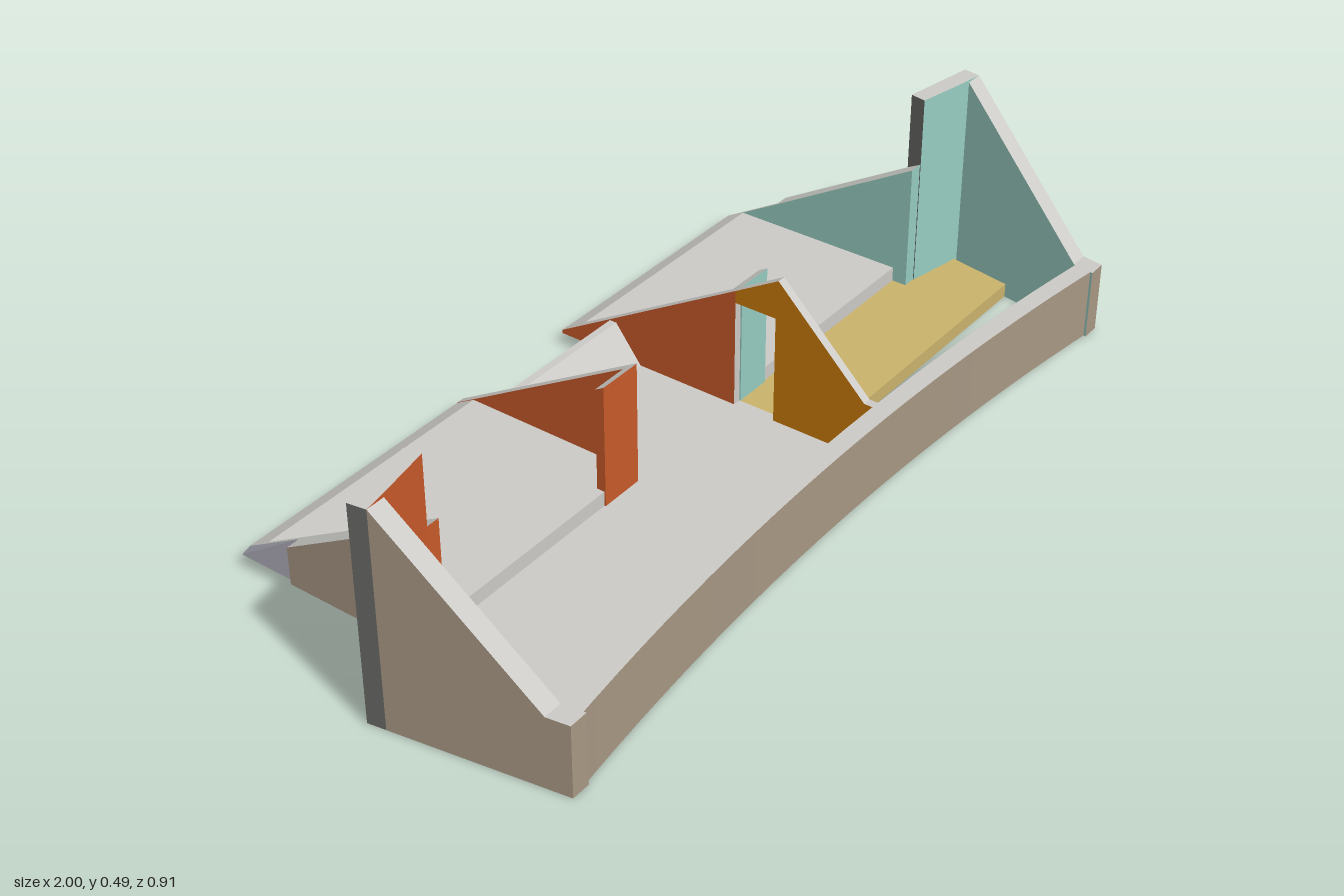
import * as THREE from 'three';

const mat = (name, color) => {
  const m = new THREE.MeshStandardMaterial({ color });
  m.name = name;
  return m;
};
const tan = mat('outer wall tan', 0xa89884);
const light = mat('light plaster', 0xcccbc7);
const gold = mat('gold floor', 0xcbb36c);
const teal = mat('teal paint', 0x97ccc1);
const orange = mat('orange paint', 0xc85a2a);
const amber = mat('amber paint', 0xc87808);
const grey = mat('wing grey', 0x6a6b67);
const lavender = mat('lavender end', 0x9b9aa6);

// Solid between two mapped copies of a flat contour; edges is one material or one per contour side
function solid(name, pts, mapA, mapB, matA, matB, edges) {
  const contour = pts.map(p => new THREE.Vector2(p[0], p[1]));
  const sign = Math.sign(THREE.ShapeUtils.area(contour));
  const A = pts.map(p => mapA(p[0], p[1])), B = pts.map(p => mapB(p[0], p[1]));
  const tris = [];
  for (const [i, j, k] of THREE.ShapeUtils.triangulateShape(contour, [])) {
    const s = Math.sign(THREE.ShapeUtils.area([contour[i], contour[j], contour[k]]));
    const [q, r] = s === sign ? [j, k] : [k, j];
    tris.push([matA, A[i], A[r], A[q]], [matB, B[i], B[q], B[r]]);
  }
  pts.forEach((_, i) => {
    const j = (i + 1) % pts.length, m = Array.isArray(edges) ? edges[i] : edges;
    tris.push([m, A[i], A[j], B[j]], [m, A[i], B[j], B[i]]);
  });
  // face everything outward
  const volume = tris.reduce((v, [, a, b, c]) => v + a.dot(b.clone().cross(c)), 0);
  const mats = [...new Set(tris.map(t => t[0]))];
  const geo = new THREE.BufferGeometry(), pos = [];
  mats.forEach((m, g) => {
    const start = pos.length / 3;
    for (const [tm, a, b, c] of tris) {
      if (tm !== m) continue;
      for (const v of volume < 0 ? [a, c, b] : [a, b, c]) pos.push(v.x, v.y, v.z);
    }
    geo.addGroup(start, pos.length / 3 - start, g);
  });
  geo.setAttribute('position', new THREE.Float32BufferAttribute(pos, 3));
  geo.computeVertexNormals();
  const mesh = new THREE.Mesh(geo, mats);
  mesh.name = name;
  return mesh;
}

const atX = x => (z, y) => new THREE.Vector3(x, y, z);
const atY = y => (x, z) => new THREE.Vector3(x, y, z);
// (z, y) profile from x0 to x1
const acrossX = (name, pts, x0, x1, m0, m1, edges) => solid(name, pts, atX(x0), atX(x1), m0, m1, edges);
// (x, z) plan from y0 to y1
const upY = (name, pts, y0, y1, bottom, top, edges) => solid(name, pts, atY(y0), atY(y1), bottom, top, edges);

const FLOOR = 0.033, DECK = 0.067;

export function createModel() {
  const model = new THREE.Group();
  model.name = 'terrace building';

  // Curved front wall
  const n = 24, plan = [], sides = [];
  for (let i = 0; i <= n; i++) {
    const t = -1 + 2 * i / n;
    plan.push([0.93 * t, 0.385 + 0.065 * t * t]);
    sides.push(i < n ? tan : light);
  }
  for (let i = 0; i <= n; i++) {
    const t = 1 - 2 * i / n;
    plan.push([0.9 * t, 0.342 + 0.062 * t * t]);
    sides.push(i < n ? teal : light);
  }
  model.add(upY('frontWall', plan, 0, 0.165, light, light, sides));

  // Main floor with the central bay, and the gold floor beside the open void
  model.add(upY('mainFloor', [[-0.955, 0.05], [-0.82, 0.005], [-0.185, 0.005], [-0.185, -0.238],
    [0.185, -0.238], [0.185, 0.345], [0, 0.344], [-0.45, 0.36], [-0.9, 0.405]], 0, FLOOR, light, light, teal));
  model.add(upY('goldFloor', [[0.185, 0.005], [0.82, 0.005], [0.955, 0.05], [0.93, 0.22], [0.185, 0.22]],
    0, FLOOR, light, gold, gold));

  // Leaning parapet at the back of the central bay
  model.add(acrossX('bayParapet', [[-0.238, 0], [-0.243, 0], [-0.325, 0.118], [-0.308, 0.118], [-0.243, FLOOR],
    [-0.238, FLOOR]], -0.166, 0.166, light, light, light));

  for (const s of [1, -1]) {
    const room = s > 0 ? teal : orange;
    const side = s > 0 ? 'left' : 'right';

    // Slanting end wall with a sloped top
    const outerX = z => 1 - (z - 0.035) * 0.07 / 0.415;
    model.add(solid(side + 'EndWall', [[0.45, 0], [0.45, 0.165], [0.4, 0.165], [0.075, 0.49], [0.075, 0]],
      (z, y) => new THREE.Vector3(s * (outerX(z) - 0.043), y, z),
      (z, y) => new THREE.Vector3(s * outerX(z), y, z),
      room, tan, [tan, light, light, grey, light]));

    // Tall wing returning inward
    model.add(upY(side + 'Wing', [[1, 0.035], [0.825, 0.005], [0.818, 0.042], [0.95, 0.068], [outerX(0.075), 0.075]]
      .map(([x, z]) => [s * x, z]), 0, 0.49, light, light, [grey, grey, room, room, grey]));

    // Side wall of the raised deck
    model.add(acrossX(side + 'SideWall', [[0.04, 0], [0.04, 0.33], [-0.32, 0.121], [-0.32, FLOOR], [0.006, FLOOR],
      [0.006, 0]], s * 0.786, s * 0.825, room, tan, [room, light, light, light, light, light]));

    // Tapered lavender end of that wall
    const top = z => 0.04 + (z + 0.46) * 0.58;
    model.add(solid(side + 'SideWallEnd', [[-0.32, 0.121], [-0.46, 0.04], [-0.46, FLOOR], [-0.32, FLOOR]],
      atX(s * 0.786),
      (z, y) => new THREE.Vector3(s * (0.815 - 0.022 * (y - FLOOR) / (top(z) - FLOOR)), y, z),
      room, lavender, light));

    // Raised deck with a bevelled back edge
    model.add(acrossX(side + 'Deck', [[0.005, FLOOR], [0.005, DECK], [-0.413, DECK], [-0.46, 0.04], [-0.46, FLOOR]],
      s * 0.184, s * 0.787, light, light, light));

    // Inner wall between the deck and the central bay
    model.add(acrossX(side + 'InnerWall', [[0.005, FLOOR], [0.005, 0.314], [-0.46, 0.041], [-0.46, FLOOR]],
      s * 0.166, s * 0.185, orange, room, [s > 0 ? light : orange, light, light, light]));

    // Short return wall at the deck's front edge
    model.add(acrossX(side + 'ReturnWall', [[0.008, FLOOR], [0.008, 0.316], [-0.013, 0.304], [-0.013, FLOOR]],
      s * (s > 0 ? 0.185 : 0.17), s * 0.275, room, room, [room, light, s > 0 ? teal : amber, light]));
  }

  // Gabled partition with a doorway, running to the front wall
  model.add(acrossX('partitionWall', [[0.345, 0.01], [0.345, 0.165], [0.325, 0.165], [0.11, 0.376], [0.005, 0.314],
    [0.005, 0.285], [0.105, 0.285], [0.105, 0.01]], 0.166, 0.186, amber, teal, light));

  return model;
}
